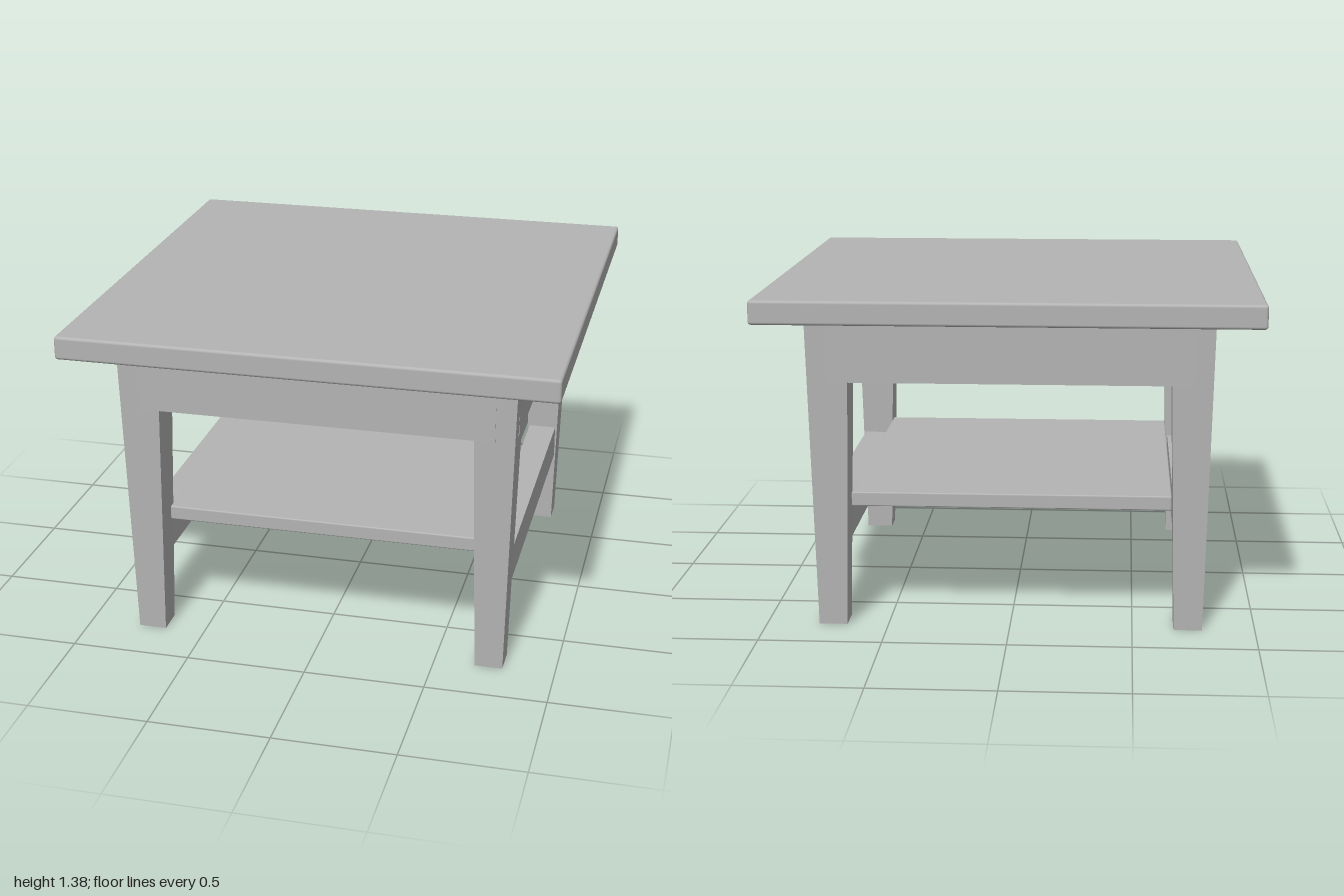
import * as THREE from 'three';
import { RoundedBoxGeometry } from 'three/addons/geometries/RoundedBoxGeometry.js';

export function createModel() {
  const table = new THREE.Group();
  table.name = 'sideTable';
  const grey = new THREE.MeshStandardMaterial({ color: 0xb4b4b4 });
  grey.name = 'grey';

  const add = (name, geometry, x, y, z) => {
    const mesh = new THREE.Mesh(geometry, grey);
    mesh.name = name;
    mesh.position.set(x, y, z);
    table.add(mesh);
  };

  // Square bar, narrower at the foot
  const taperedLeg = (bottom, top, height) => {
    const g = new THREE.BoxGeometry(1, height, 1).toNonIndexed();
    const p = g.attributes.position;
    for (let i = 0; i < p.count; i++) {
      const w = p.getY(i) > 0 ? top : bottom;
      p.setX(i, p.getX(i) * w);
      p.setZ(i, p.getZ(i) * w);
    }
    g.computeVertexNormals();
    return g;
  };

  // Table top and lower shelf, with softened edges
  add('tableTop', new RoundedBoxGeometry(2, 0.096, 2, 2, 0.012), 0, 1.328, 0);
  add('shelf', new RoundedBoxGeometry(1.31, 0.06, 1.4, 2, 0.006), 0, 0.51, 0);

  const legCentre = 0.727;
  const apronDepth = 0.08;
  for (const s of [-1, 1]) {
    // Legs
    for (const t of [-1, 1]) {
      add('leg', taperedLeg(0.116, 0.175, 1.28), s * legCentre, 0.64, t * legCentre);
    }
    // Aprons under the top, ending inside the legs
    add(s > 0 ? 'frontApron' : 'backApron',
      new THREE.BoxGeometry(1.46, 0.26, apronDepth), 0, 1.15, s * (0.8135 - apronDepth / 2));
    add('sideApron',
      new THREE.BoxGeometry(apronDepth, 0.26, 1.46), s * (0.811 - apronDepth / 2), 1.15, 0);
    // Side stretchers beneath the shelf
    add('stretcher', new THREE.BoxGeometry(0.12, 0.145, 1.46), s * 0.727, 0.4025, 0);
  }
  return table;
}
